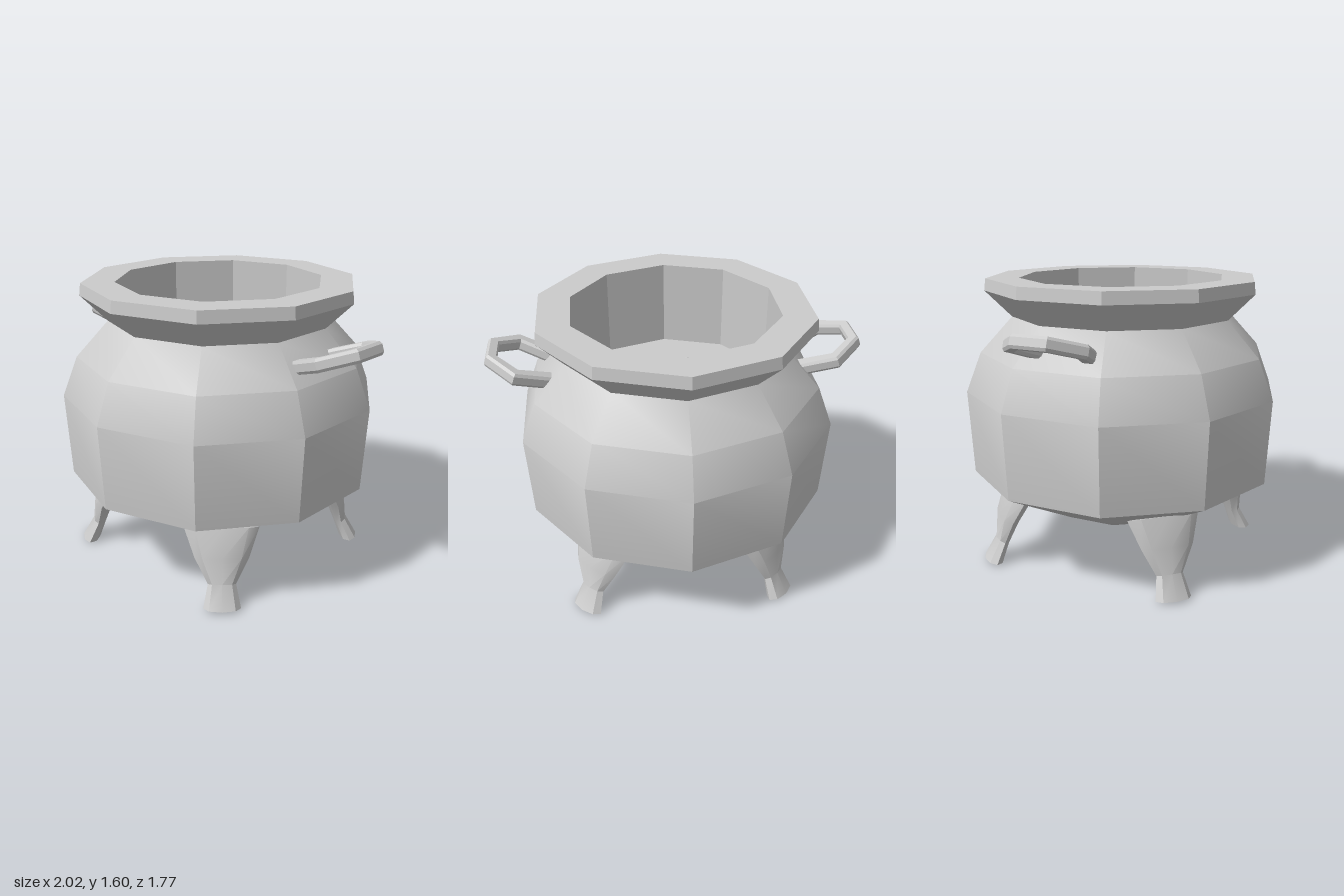
import * as THREE from 'three';
import { toCreasedNormals } from 'three/addons/utils/BufferGeometryUtils.js';

const material = new THREE.MeshStandardMaterial({ color: 0xcccccc });
const flat = new THREE.MeshStandardMaterial({ color: 0xcccccc, flatShading: true });

function part(parent, name, geometry, mat = material) {
  const mesh = new THREE.Mesh(geometry, mat);
  mesh.name = name;
  parent.add(mesh);
  return mesh;
}

// Ten-sided body, flared rim and inner wall in one turned profile
function potGeometry() {
  const profile = [
    [0, 0.285], [0.42, 0.285], [0.86, 0.51], [0.885, 0.98], [0.8, 1.2], [0.62, 1.395],
    [0.765, 1.54], [0.757, 1.605], [0.575, 1.605], [0.575, 1.1],
  ].map(([r, y]) => new THREE.Vector2(r, y));
  return toCreasedNormals(new THREE.LatheGeometry(profile, 10), THREE.MathUtils.degToRad(35));
}

// Flat bent bar with chamfered edges, lying in the plane of the handle
function handleGeometry() {
  const outer = [[0, 0.165], [0.21, 0.225], [0.36, 0.095]];
  const inner = [[0.32, 0.08], [0.2, 0.175], [0.02, 0.115]];
  const flip = (list) => list.map(([u, v]) => [u, -v]).reverse();
  const outline = [...outer, ...flip(outer), ...flip(inner), ...inner];
  const shape = new THREE.Shape(outline.map(([u, v]) => new THREE.Vector2(u, v)));
  const geometry = new THREE.ExtrudeGeometry(shape, {
    depth: 0.04, bevelEnabled: true, bevelSegments: 1, bevelSize: 0.01, bevelThickness: 0.015,
  });
  geometry.translate(0, 0, -0.02);
  geometry.rotateX(-Math.PI / 2);
  return geometry;
}

// Eight-sided leg: wide at the pot, narrow ankle, splayed foot; +x points outward
function legGeometry() {
  // [height, distance from centre, half depth, half width, tilt of the ring]
  const rings = [
    [0.015, 0.79, 0.05, 0.1, 0.15],
    [0.13, 0.735, 0.035, 0.075, 0.4],
    [0.27, 0.7, 0.055, 0.145, 0.3],
    [0.415, 0.635, 0.065, 0.2, 0.4],
  ];
  const geometry = new THREE.CylinderGeometry(1, 1, 1, 8, 3);
  const p = geometry.attributes.position;
  for (let i = 0; i < p.count; i++) {
    const [y, r, depth, width, tilt] = rings[Math.round((p.getY(i) + 0.5) * 3)];
    const dx = p.getX(i) * depth;
    p.setXYZ(i, r + dx, Math.max(0, y + dx * tilt), p.getZ(i) * width);
  }
  return toCreasedNormals(geometry, THREE.MathUtils.degToRad(32));
}

export function createModel() {
  const model = new THREE.Group();
  model.name = 'cauldron';

  part(model, 'pot', potGeometry());

  // Broth surface inside the pot
  const broth = part(model, 'broth', new THREE.CircleGeometry(0.575, 10, Math.PI / 2));
  broth.rotation.x = -Math.PI / 2;
  broth.position.y = 1.12;

  // Side handles, tilted upward
  const handleShape = handleGeometry();
  for (const [name, turn] of [['leftHandle', 0], ['rightHandle', Math.PI]]) {
    const holder = new THREE.Group();
    holder.name = name;
    holder.rotation.y = turn;
    const bar = part(holder, name + 'Bar', handleShape, flat);
    bar.position.set(0.655, 1.27, 0);
    bar.rotation.z = 0.34;
    model.add(holder);
  }

  // Four legs on the diagonals
  const legShape = legGeometry();
  ['frontRightLeg', 'frontLeftLeg', 'backLeftLeg', 'backRightLeg'].forEach((name, i) => {
    part(model, name, legShape).rotation.y = -Math.PI * 0.75 + i * Math.PI / 2;
    model.children.at(-1).name = ['backRightLeg', 'frontRightLeg', 'frontLeftLeg', 'backLeftLeg'][i];
  });

  // Lumps of food floating in the broth: [x, z, radius, height of centre, turn]
  const lumps = [
    [-0.08, 0.06, 0.17, 1.08, 0.2],
    [0.365, -0.12, 0.195, 1.06, 1.1],
    [0.12, -0.385, 0.165, 1.07, 2.3],
    [-0.175, -0.35, 0.12, 1.07, 0.7],
  ];
  for (const [x, z, r, y, turn] of lumps) {
    const lump = part(model, 'foodLump', new THREE.IcosahedronGeometry(r, 1), flat);
    lump.position.set(x, y, z);
    lump.rotation.set(turn, turn * 2, 0);
  }

  // Pointed stems on two of the lumps: [x, z, radius, height of centre]
  for (const [x, z, r, y] of [[-0.05, -0.005, 0.05, 1.25], [0.43, -0.19, 0.09, 1.23]]) {
    const stem = part(model, 'stem', new THREE.ConeGeometry(r, 0.08, 6), flat);
    stem.position.set(x, y, z);
  }

  return model;
}
